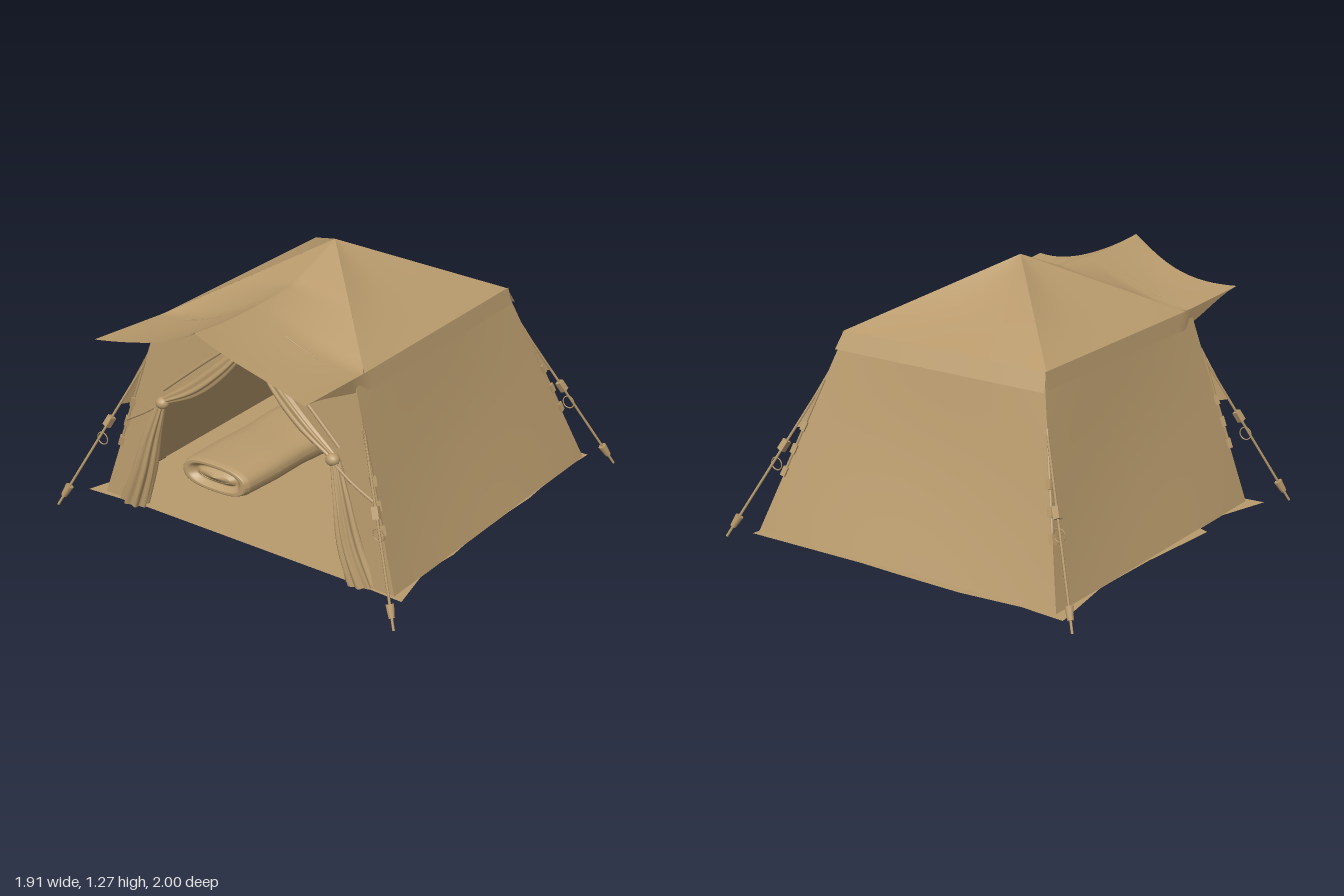
import * as THREE from 'three';
import { ParametricGeometry } from 'three/addons/geometries/ParametricGeometry.js';

const canvas = new THREE.MeshStandardMaterial({ color: 0xb89a6c, side: THREE.DoubleSide });
canvas.name = 'tan canvas';

const V = (x, y, z) => new THREE.Vector3(x, y, z);
const { lerp, smoothstep } = THREE.MathUtils;

// Roof measures: half width, hip/edge height and ridge height of the front panel
const halfWidth = z => (z < 0.55 ? z : 0.55 + 0.045 * (z - 0.55));
const edgeY = z => (z < 0.55 ? 1.27 - 0.564 * Math.max(z, 0) : 0.96 + 0.06 * (z - 0.55));
const ridgeY = z => (z < 0.3 ? 1.27 - 0.38 * z : 1.14 + 0.017 * ((z - 0.6) / 0.33) ** 2);
const canopyY = (x, z) => {
  const u = Math.min(1, Math.abs(x) / Math.max(halfWidth(z), 1e-4));
  const power = 1 + 1.1 * smoothstep(z, 0.2, 0.9);
  return edgeY(z) + (ridgeY(z) - edgeY(z)) * (1 - u) ** power;
};

function part(parent, name, geometry) {
  const mesh = new THREE.Mesh(geometry, canvas);
  mesh.name = name;
  parent.add(mesh);
  return mesh;
}

function surface(parent, name, fn, nu = 16, nv = 16) {
  const geometry = new ParametricGeometry((u, v, p) => p.copy(fn(u, v)), nu, nv);
  geometry.computeVertexNormals();
  return part(parent, name, geometry);
}

// Cloth panel between a bottom edge a-b and a top edge c-d, sagging along push
function panel(parent, name, a, b, c, d, push) {
  return surface(parent, name, (u, v) => {
    const p = a.clone().lerp(b, u).lerp(c.clone().lerp(d, u), v);
    return p.addScaledVector(push, Math.sin(Math.PI * u) * Math.sin(Math.PI * v));
  });
}

function tube(parent, name, points, radius, segments = 24) {
  const curve = new THREE.CatmullRomCurve3(points);
  return part(parent, name, new THREE.TubeGeometry(curve, segments, radius, 6));
}

// Gathered cloth: lobed oval swept along a curve, size(t) gives [across, depth]
function gathered(parent, name, points, across, size, lobes) {
  const curve = new THREE.CatmullRomCurve3(points);
  return surface(parent, name, (u, v) => {
    const a = u * Math.PI * 2, [w, d] = size(v);
    const r = 1 + 0.16 * Math.cos(lobes * a + 2 * v);
    const p = curve.getPoint(v).addScaledVector(across, Math.cos(a) * w * r);
    p.z += Math.sin(a) * d * r;
    return p;
  }, 48, 20);
}

// Cylinder or box fitting placed along a cord
function fitting(parent, name, geometry, from, to, t) {
  const mesh = part(parent, name, geometry);
  mesh.position.lerpVectors(from, to, t);
  mesh.quaternion.setFromUnitVectors(V(0, 1, 0), to.clone().sub(from).normalize());
}

// Guy line with corner tab, slider, toggle and spare cord loop
function guyLine(parent, corner, peg, name) {
  const g = new THREE.Group();
  g.name = name;
  const top = corner(0.72);
  tube(g, 'cord', [top, top.clone().lerp(peg, 0.5), peg], 0.006, 4);
  const tip = top.clone().lerp(peg, 0.28), a = corner(0.78), b = corner(0.52);
  const tab = new THREE.BufferGeometry().setFromPoints([a, b, tip]);
  tab.computeVertexNormals();
  part(g, 'cornerTab', tab);
  fitting(g, 'slider', new THREE.BoxGeometry(0.03, 0.055, 0.03), top, peg, 0.4);
  fitting(g, 'toggle', new THREE.CylinderGeometry(0.014, 0.02, 0.06, 8), top, peg, 0.9);
  const loop = part(g, 'cordLoop', new THREE.TorusGeometry(0.03, 0.003, 5, 16));
  loop.position.lerpVectors(top, peg, 0.48).add(V(0, -0.03, 0));
  // Webbing and buckles running down the tent corner
  tube(g, 'cornerStrap', [corner(0.74), corner(0.5), corner(0.3)], 0.007, 6);
  for (const t of [0.25, 0.6, 0.95])
    fitting(g, 'buckle', new THREE.BoxGeometry(0.025, 0.045, 0.025), corner(0.6), corner(0.3), t);
  parent.add(g);
}

// Everything that repeats on both sides, built for +x
function buildSide() {
  const g = new THREE.Group();
  const frontCorner = y => V(lerp(0.82, 0.54, (y - 0.03) / 0.93), y, lerp(0.7, 0.61, (y - 0.03) / 0.93));
  const backCorner = y => V(lerp(0.82, 0.54, (y - 0.03) / 0.93), y, lerp(-0.92, -0.6, (y - 0.03) / 0.93));

  panel(g, 'sideWall', frontCorner(0.03), backCorner(0.03), frontCorner(0.96), backCorner(0.96), V(-0.02, 0, 0));
  panel(g, 'sideRoof', V(0.55, 0.96, 0.55), V(0.55, 0.96, -0.6), V(0, 1.27, 0), V(0, 1.27, 0), V(-0.01, -0.015, 0));

  // Hanging edge under the eave, tapering out along the canopy
  surface(g, 'sideValance', (u, v) => {
    const z = lerp(-0.61, 0.985, u);
    const drop = 0.08 * (1 - smoothstep(z, 0.5, 1));
    return V(z < 0.55 ? 0.55 + 0.018 * v : halfWidth(z), (z < 0.55 ? 0.96 : edgeY(z)) - drop * v, z);
  }, 24, 2);

  // Half of the front wall beside and above the doorway
  const s = new THREE.Shape();
  s.moveTo(0, canopyY(0, 0.61) - 0.004);
  for (const x of [0.05, 0.1, 0.2, 0.3, 0.4, 0.54]) s.lineTo(x, canopyY(x, 0.61) - 0.004);
  s.lineTo(0.82, 0.03);
  s.lineTo(0.63, 0.03);
  s.quadraticCurveTo(0.56, 0.25, 0.49, 0.57);
  s.bezierCurveTo(0.36, 0.64, 0.16, 0.77, 0, 0.98);
  const wall = new THREE.ShapeGeometry(s, 12), p = wall.attributes.position;
  for (let i = 0; i < p.count; i++) p.setZ(i, 0.7 - 0.097 * (p.getY(i) - 0.03));
  wall.computeVertexNormals();
  part(g, 'frontWall', wall);

  // Tied-back door curtain
  gathered(g, 'curtainTop', [V(0.005, 0.985, 0.625), V(0.15, 0.825, 0.645), V(0.31, 0.685, 0.655), V(0.48, 0.585, 0.67)],
    V(0.66, 0.75, 0), t => [0.014 + 0.02 * Math.sin(Math.PI * t), 0.014 + 0.01 * Math.sin(Math.PI * t)], 6);
  gathered(g, 'curtainBottom', [V(0.485, 0.58, 0.67), V(0.535, 0.4, 0.685), V(0.58, 0.22, 0.695), V(0.645, 0.035, 0.7)],
    V(1, 0.1, 0), t => [0.02 + 0.045 * t, 0.018 + 0.035 * Math.sin(t * 2.2)], 8);
  const knot = part(g, 'curtainKnot', new THREE.SphereGeometry(0.034, 14, 10));
  knot.position.set(0.475, 0.58, 0.675);
  knot.scale.set(1, 0.85, 0.9);
  tube(g, 'curtainTie', [V(0.48, 0.575, 0.685), V(0.58, 0.505, 0.685), V(0.7, 0.43, 0.67)], 0.007);

  // Door fold seam on the wall
  tube(g, 'foldSeam', [V(0.02, 1.01, 0.615), V(0.25, 0.83, 0.628), V(0.49, 0.63, 0.648)], 0.008);

  guyLine(g, frontCorner, V(0.95, 0.005, 0.895), 'frontGuyLine');
  guyLine(g, backCorner, V(0.95, 0.005, -0.995), 'backGuyLine');

  // Raised seam on the canopy
  tube(g, 'canopySeam', [0.18, 0.28, 0.38].map(x => V(x, canopyY(x, 0.61), 0.61)), 0.004, 8);
  return g;
}

export function createModel() {
  const tent = new THREE.Group();
  tent.name = 'tent';

  for (const sign of [1, -1]) {
    const side = buildSide();
    side.name = sign > 0 ? 'leftSide' : 'rightSide';
    side.scale.x = sign;
    tent.add(side);
  }

  // Front roof panel running out into the sagging canopy
  surface(tent, 'frontRoofCanopy', (u, v) => {
    const k = 2 * u - 1, x = k * halfWidth(v);
    const scallop = 0.05 * Math.sin(Math.PI * Math.min(1, Math.abs(k) ** 1.2)) * smoothstep(v, 0.6, 1);
    return V(x, canopyY(x, v), v - scallop);
  }, 40, 32);

  // Back roof, valance and wall
  panel(tent, 'backRoof', V(0.55, 0.96, -0.6), V(-0.55, 0.96, -0.6), V(0, 1.27, 0), V(0, 1.27, 0), V(0, -0.025, 0));
  panel(tent, 'backValance', V(0.568, 0.88, -0.645), V(-0.568, 0.88, -0.645),
    V(0.55, 0.96, -0.6), V(-0.55, 0.96, -0.6), V(0, 0, 0));
  panel(tent, 'backWall', V(0.82, 0.03, -0.92), V(-0.82, 0.03, -0.92),
    V(0.54, 0.96, -0.6), V(-0.54, 0.96, -0.6), V(0, 0, 0.02));

  // Ground sheet with a ragged outline
  const outline = [[-0.88, -0.96], [-0.66, -0.94], [-0.35, -0.965], [0, -0.955], [0.2, -0.945], [0.83, -0.95],
    [0.81, -0.7], [0.83, -0.4], [0.81, 0], [0.83, 0.25], [0.81, 0.45], [0.87, 0.72], [0.6, 0.71], [-0.6, 0.71],
    [-0.9, 0.735], [-0.815, 0.45], [-0.815, 0.27], [-0.87, 0.25], [-0.83, -0.2], [-0.82, -0.57]];
  const sheet = new THREE.Shape(outline.map(([x, z]) => new THREE.Vector2(x, -z)));
  const floor = part(tent, 'groundSheet', new THREE.ShapeGeometry(sheet));
  floor.rotation.x = -Math.PI / 2;
  floor.position.y = 0.032;

  // Bedroll: flattened roll with a tucked-in front end
  const roll = new THREE.Group();
  roll.name = 'bedroll';
  const ring = [[0.42, 0.45], [0.4, 0.62], [0.43, 0.8], [0.43, 0.94], [0.4, 1], [0.2, 1.03], [0, 1],
    [-0.2, 1.06], [-0.36, 1.02], [-0.4, 0.85], [-0.38, 0.01]];
  surface(roll, 'rolledBlanket', (u, v) => {
    const i = Math.min(Math.floor(v * 10 + 1e-6), 9), f = v * 10 - i;
    const z = lerp(ring[i][0], ring[i + 1][0], f), k = lerp(ring[i][1], ring[i + 1][1], f);
    const a = u * Math.PI * 2, c = Math.cos(a), s = Math.sin(a);
    const grow = lerp(1.1, 0.96, (z + 0.4) / 0.83);
    const x = Math.sign(c) * Math.abs(c) ** 0.75 * 0.195 * k;
    const y = Math.sign(s) * Math.abs(s) ** 0.8 * (0.08 * k - 0.03 * (1 - k)) * grow;
    return V(lerp(-0.34, -0.39, (z + 0.4) / 0.83) + x, 0.035 + 0.085 * grow + y, z);
  }, 40, 40);
  surface(roll, 'innerFold', (u, v) => {
    const a = u * Math.PI * 2;
    return V(-0.39 + 0.1 * v * Math.cos(a), 0.118 + 0.025 * v * Math.sin(a), 0.43 - 0.02 * v);
  }, 24, 4);
  tent.add(roll);

  return tent;
}
